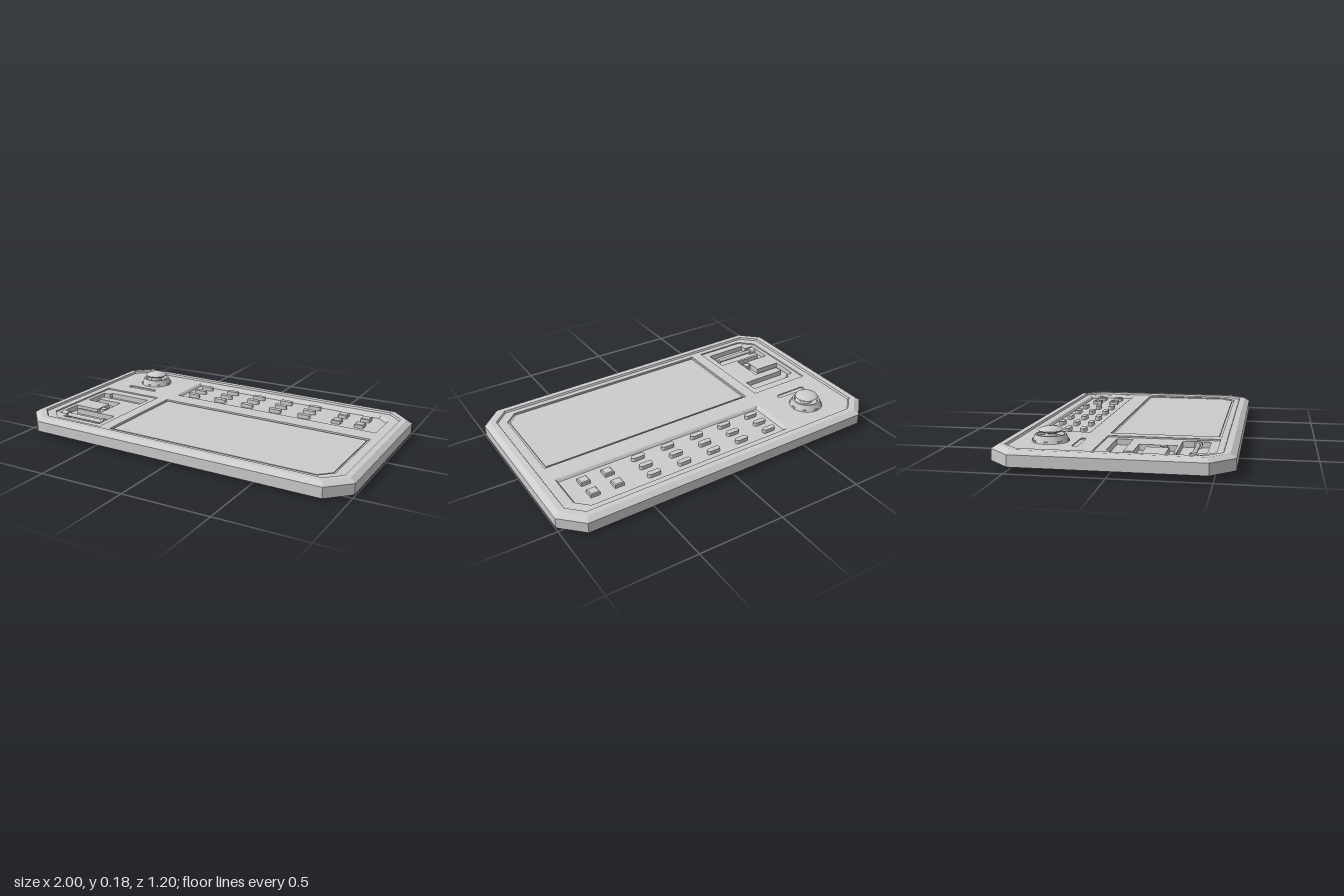
import * as THREE from 'three';
import { toCreasedNormals } from 'three/addons/utils/BufferGeometryUtils.js';

const material = new THREE.MeshStandardMaterial({ color: 0xcccccc });

// Rectangle with chamfered corners [frontLow, frontHigh, backHigh, backLow] in x, inset by d
function outline([x0, x1, z0, z1], chamfers, d = 0) {
  const c = chamfers.map((v) => (v > 0 ? v - 0.586 * d : 0));
  const l = x0 + d, r = x1 - d, b = z0 + d, f = z1 - d;
  const corner = (v, p, q) => (v > 0 ? [p, q] : [p]);
  return [
    ...corner(c[0], [l, f - c[0]], [l + c[0], f]),
    ...corner(c[1], [r - c[1], f], [r, f - c[1]]),
    ...corner(c[2], [r, b + c[2]], [r - c[2], b]),
    ...corner(c[3], [l + c[3], b], [l, b + c[3]]),
  ];
}

// Faceted strip through outlines given as [inset, height]
function loft(rect, chamfers, steps) {
  const rings = steps.map(([d, y]) => outline(rect, chamfers, d).map(([x, z]) => [x, y, z]));
  const pos = [];
  for (let i = 0; i < rings.length - 1; i++) {
    const n = rings[i].length;
    for (let j = 0; j < n; j++) {
      const k = (j + 1) % n;
      const a = rings[i][j], b = rings[i][k], c = rings[i + 1][k], e = rings[i + 1][j];
      pos.push(...a, ...b, ...c, ...a, ...c, ...e);
    }
  }
  const g = new THREE.BufferGeometry();
  g.setAttribute('position', new THREE.Float32BufferAttribute(pos, 3));
  g.computeVertexNormals();
  return g;
}

// Flat plate from y0 to y1 with openings
const toVectors = (pts) => pts.map(([x, z]) => new THREE.Vector2(x, -z));
function plate(pts, y0, y1, holes = []) {
  const shape = new THREE.Shape(toVectors(pts));
  holes.forEach((h) => shape.holes.push(new THREE.Path(toVectors(h))));
  const g = new THREE.ExtrudeGeometry(shape, { depth: y1 - y0, bevelEnabled: false });
  return g.rotateX(-Math.PI / 2).translate(0, y0, 0);
}

// Pill outline centred on cx, cz
function pill(cx, cz, w, d) {
  const r = d / 2, pts = [];
  for (let i = 0; i < 14; i++) {
    const side = i < 7 ? 1 : -1;
    const a = -Math.PI / 2 + ((i % 7) / 6) * Math.PI + (side < 0 ? Math.PI : 0);
    pts.push([cx + side * (w / 2 - r) + r * Math.cos(a), cz + r * Math.sin(a)]);
  }
  return pts;
}

export function createModel() {
  const model = new THREE.Group();
  const console_ = new THREE.Group();
  console_.name = 'controlPanel';
  model.add(console_);
  const add = (name, geometry, parent = console_) => {
    const mesh = new THREE.Mesh(geometry, material);
    mesh.name = name;
    parent.add(mesh);
    return mesh;
  };

  // Case: bevelled eight-sided shell with a raised rim
  const body = [-1, 1, -0.6, 0.6], bodyC = [0.12, 0.12, 0.12, 0.12];
  add('caseShell', loft(body, bodyC,
    [[0.03, 0], [0, 0.01], [0, 0.07], [0.03, 0.09], [0.063, 0.09], [0.07, 0.076]]));
  add('caseBottom', plate(outline(body, bodyC, 0.03), 0, 0.04));

  // Face plate with openings for the three panels and a narrow slot
  const tray = [-0.44, 0.88, -0.5, -0.2], trayC = [0, 0, 0.07, 0];
  const screen = [-0.44, 0.88, -0.09, 0.5], screenC = [0, 0.07, 0, 0];
  const gate = [-0.89, -0.51, -0.09, 0.5], gateC = [0.075, 0, 0, 0];
  add('facePlate', plate(outline(body, bodyC, 0.066), 0.038, 0.079, [
    outline(tray, trayC), outline(screen, screenC), outline(gate, gateC), pill(-0.7, -0.2, 0.2, 0.03),
  ]));
  add('slotFloor', plate(pill(-0.7, -0.2, 0.2, 0.03), 0.038, 0.073));

  // Screen with a surrounding groove
  add('screenGroove', plate(outline(screen, screenC), 0.038, 0.068));
  add('screen', plate(outline(screen, screenC, 0.014), 0.066, 0.075));

  // Button tray with sloping walls
  add('trayWall', loft(tray, trayC, [[0, 0.079], [0.008, 0.076], [0.018, 0.062]]));
  add('trayFloor', plate(outline(tray, trayC, 0.001), 0.038, 0.062));

  // Three rows of five pill buttons, then four square ones
  const buttons = new THREE.Group();
  buttons.name = 'buttons';
  console_.add(buttons);
  for (const z of [-0.435, -0.35, -0.265])
    for (let i = 0; i < 5; i++)
      add('pillButton', plate(pill(-0.345 + i * 0.189, z, 0.08, 0.03), 0.06, 0.084), buttons);
  for (const z of [-0.4, -0.29])
    for (const x of [0.61, 0.75]) {
      const r = [x - 0.027, x + 0.027, z - 0.027, z + 0.027], c = [0, 0, 0, 0];
      add('squareButton', loft(r, c, [[0, 0.06], [0, 0.08], [0.005, 0.084]]), buttons);
      add('squareButtonTop', plate(outline(r, c, 0.005), 0.078, 0.084), buttons);
    }

  // Lever gate: sunken plate cut by a winding track between two bays
  const track = [
    [-0.865, -0.01], [-0.82, -0.01], [-0.82, -0.035], [-0.55, -0.035], [-0.55, 0.05],
    [-0.825, 0.05], [-0.825, 0.1], [-0.66, 0.1], [-0.66, 0.295], [-0.825, 0.295],
    [-0.825, 0.31], [-0.55, 0.31], [-0.55, 0.455], [-0.81, 0.455], [-0.81, 0.415],
    [-0.865, 0.415], [-0.865, 0.26], [-0.71, 0.26], [-0.71, 0.145], [-0.865, 0.145],
  ];
  add('gatePlate', plate(outline(gate, gateC), 0.038, 0.071, [track]));

  // Rail with end collars in the front bay, and a small stop in the track
  const rod = (name, r, x0, x1) =>
    add(name, new THREE.CylinderGeometry(r, r, x1 - x0, 16).rotateZ(Math.PI / 2)
      .translate((x0 + x1) / 2, 0.058, 0.39));
  rod('gateRail', 0.012, -0.86, -0.55);
  rod('railCollar', 0.022, -0.86, -0.82);
  rod('railCollar', 0.022, -0.575, -0.56);
  add('trackStop', new THREE.BoxGeometry(0.035, 0.035, 0.035).translate(-0.685, 0.055, 0.23));

  // Knob: tapered socket with a hollow top, and a lens-shaped cap on a stem
  const knob = new THREE.Group();
  knob.name = 'knob';
  knob.position.set(-0.69, 0, -0.35);
  console_.add(knob);
  const lathe = (name, pts) => add(name, toCreasedNormals(new THREE.LatheGeometry(
    pts.map(([r, y]) => new THREE.Vector2(r, y)), 32), 0.6), knob);
  lathe('knobSocket', [[0.096, 0.078], [0.09, 0.09], [0.08, 0.116], [0.07, 0.116], [0.064, 0.1], [0, 0.1]]);
  lathe('knobStem', [[0.035, 0.1], [0.03, 0.125]]);
  lathe('knobCap', [[0, 0.118], [0.035, 0.121], [0.056, 0.128], [0.066, 0.136],
    [0.062, 0.141], [0.048, 0.149], [0.026, 0.154], [0, 0.156]]);
  for (let i = 0; i < 8; i++) {
    const notch = add('socketTab', new THREE.BoxGeometry(0.024, 0.008, 0.012), knob);
    const a = (i * Math.PI) / 4;
    notch.position.set(Math.sin(a) * 0.09, 0.086, Math.cos(a) * 0.09);
    notch.rotation.y = a;
  }

  // Slight sideways slope
  console_.rotation.z = -0.0125;
  console_.position.y = 0.0122;
  return model;
}
